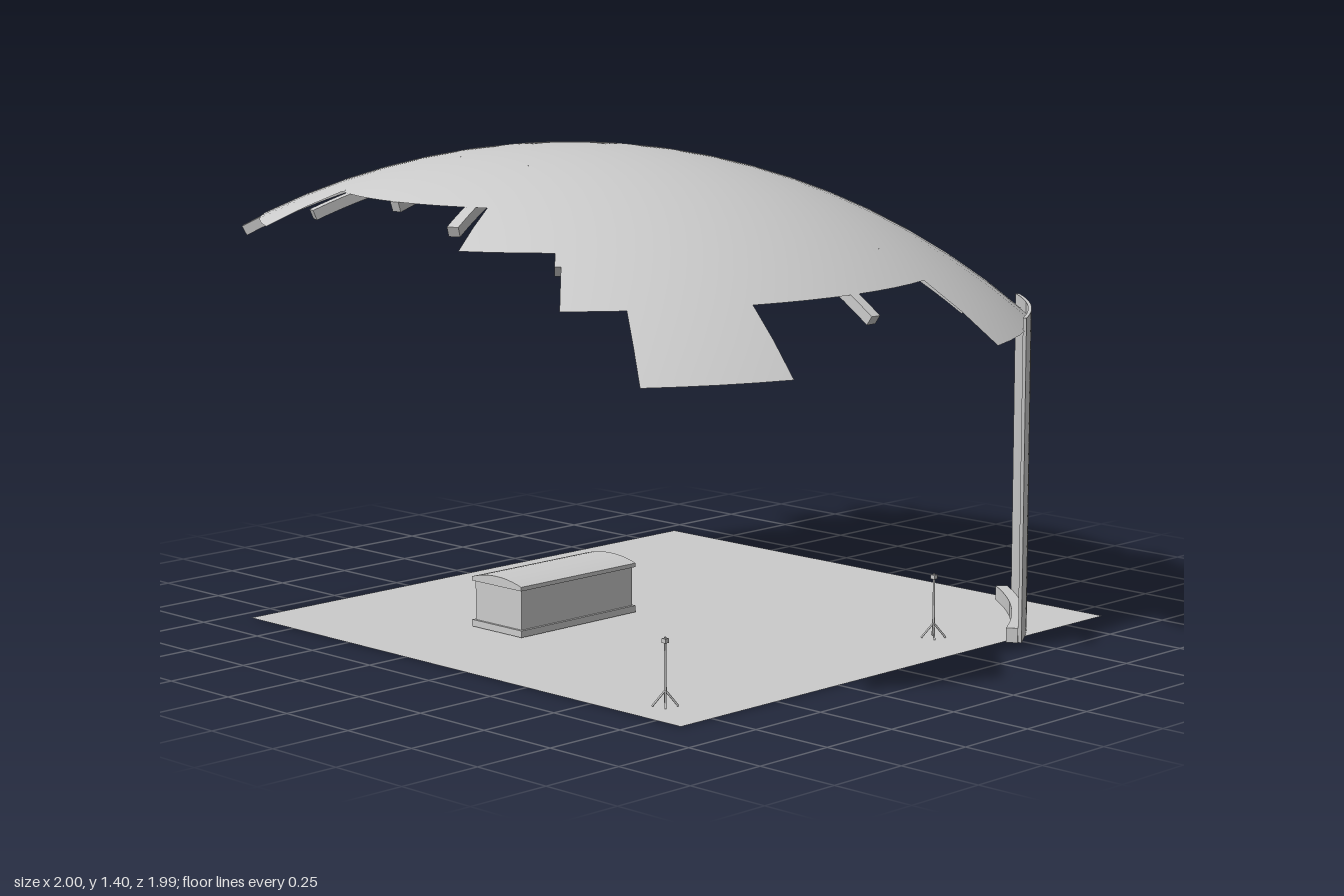
import * as THREE from 'three';
import { mergeGeometries, toCreasedNormals } from 'three/addons/utils/BufferGeometryUtils.js';

const CX = -0.275, CZ = 0.195, APEX = 1.405, SPHERE = 2.046;
const rad = THREE.MathUtils.degToRad;
const domeY = r => APEX - SPHERE + Math.sqrt(SPHERE * SPHERE - r * r);
const grey = new THREE.MeshStandardMaterial({ color: 0xcccccc });
const greyThin = new THREE.MeshStandardMaterial({ color: 0xcccccc, side: THREE.DoubleSide });

function add(parent, name, geometry, x = 0, y = 0, z = 0, material = grey) {
  const mesh = new THREE.Mesh(geometry, material);
  mesh.name = name;
  mesh.position.set(x, y, z);
  parent.add(mesh);
  return mesh;
}

// Sector of the spherical roof, out to radius r, between two angles in degrees
function roofSector(from, to, r) {
  const g = new THREE.RingGeometry(0, r, Math.round((to - from) / 4.5), Math.round(r / 0.1115), rad(from), rad(to - from));
  g.rotateX(-Math.PI / 2);
  const p = g.attributes.position, n = g.attributes.normal, v = new THREE.Vector3();
  for (let i = 0; i < p.count; i++) {
    const y = domeY(Math.hypot(p.getX(i), p.getZ(i)));
    p.setY(i, y);
    v.set(p.getX(i), y - APEX + SPHERE, p.getZ(i)).normalize();
    n.setXYZ(i, v.x, v.y, v.z);
  }
  return g;
}

// Curved rib of rectangular section following the underside of the roof
function ribGeometry(length) {
  const steps = 28, width = 0.034, depth = 0.03, top = [], bottom = [];
  for (let i = 0; i <= steps; i++) {
    const r = length * i / steps, y = domeY(r) - 0.002;
    const nx = r / SPHERE, ny = Math.sqrt(1 - nx * nx);
    top.push(new THREE.Vector2(r, y));
    bottom.unshift(new THREE.Vector2(r - nx * depth, y - ny * depth));
  }
  const g = new THREE.ExtrudeGeometry(new THREE.Shape([...top, ...bottom]), { depth: width, bevelEnabled: false });
  g.translate(0, 0, -width / 2);
  return toCreasedNormals(g, rad(30));
}

// Upright block following an arc around the roof axis
function arcBlock(inner, outer, from, to, height) {
  const s = new THREE.Shape();
  s.absarc(0, 0, outer, rad(from), rad(to), false);
  s.absarc(0, 0, inner, rad(to), rad(from), true);
  const g = new THREE.ExtrudeGeometry(s, { depth: height, bevelEnabled: false, curveSegments: 20 });
  g.rotateX(-Math.PI / 2);
  return toCreasedNormals(g, rad(30));
}

// Rod between two points
function rod(a, b, radius) {
  return new THREE.TubeGeometry(new THREE.LineCurve3(new THREE.Vector3(...a), new THREE.Vector3(...b)), 1, radius, 6);
}

export function createModel() {
  const model = new THREE.Group();
  model.name = 'pavilion';

  // Floor sheet
  const floor = new THREE.PlaneGeometry(1.785, 1.785);
  floor.rotateX(-Math.PI / 2);
  add(model, 'floor', floor, -0.053, 0, -0.027, greyThin);

  // Roof shell with a stepped rim: start angle, end angle, radius
  const sectors = [
    [-18, 18, 1.117], [18, 63, 1.34], [63, 126, 1.117], [126, 144, 0.895], [144, 216, 0.673],
    [216, 243, 0.895], [243, 297, 0.673], [297, 315, 0.895], [315, 324, 1.117], [324, 342, 1.34],
  ];
  add(model, 'roofShell', mergeGeometries(sectors.map(s => roofSector(...s))), CX, 0, CZ, greyThin);

  // Sixteen radial ribs, counter-clockwise from +x
  const ribs = new THREE.Group();
  ribs.name = 'ribs';
  ribs.position.set(CX, 0, CZ);
  model.add(ribs);
  const lengths = [1.19, 1.22, 1.335, 1.19, 1.11, 1.19, 0.95, 0.67, 0.67, 0.67, 0.95, 0.78, 0.67, 0.78, 0.95, 1.22];
  lengths.forEach((length, i) => {
    add(ribs, 'rib', ribGeometry(length)).rotation.y = i * Math.PI / 8;
  });

  // Curved support wall and the low plinth along its inner foot
  add(model, 'supportWall', arcBlock(1.334, 1.344, 30.4, 52.5, 0.943), CX, 0, CZ);
  add(model, 'wallPlinth', arcBlock(1.3, 1.334, 30.2, 54.8, 0.043), CX, 0, CZ);

  // Chest with base slab, body and arched lid
  const chest = new THREE.Group();
  chest.name = 'chest';
  chest.position.set(-0.28, 0, 0.258);
  model.add(chest);
  add(chest, 'chestBase', new THREE.BoxGeometry(0.212, 0.02, 0.464), 0, 0.014, 0);
  add(chest, 'chestBody', new THREE.BoxGeometry(0.196, 0.12, 0.448), 0, 0.083, 0);
  const lid = new THREE.Shape();
  lid.moveTo(-0.106, 0);
  lid.lineTo(0.106, 0);
  lid.lineTo(0.106, 0.012);
  lid.quadraticCurveTo(0, 0.044, -0.106, 0.012);
  const lidGeometry = new THREE.ExtrudeGeometry(lid, { depth: 0.464, bevelEnabled: false });
  lidGeometry.translate(0, 0, -0.232);
  add(chest, 'chestLid', toCreasedNormals(lidGeometry, rad(25)), 0, 0.141, 0);

  // Two slim tripod stands
  for (const z of [0.75, -0.35]) {
    const stand = new THREE.Group();
    stand.name = 'tripodStand';
    stand.position.set(0.668, 0, z);
    model.add(stand);
    add(stand, 'pole', new THREE.CylinderGeometry(0.003, 0.004, 0.15, 8), 0, 0.117, 0);
    add(stand, 'head', new THREE.BoxGeometry(0.014, 0.012, 0.014), 0, 0.182, 0);
    for (let i = 0; i < 4; i++) {
      const a = Math.PI / 4 + i * Math.PI / 2;
      add(stand, 'leg', rod([0, 0.046, 0], [Math.cos(a) * 0.035, 0.003, Math.sin(a) * 0.035], 0.003));
    }
  }
  return model;
}
